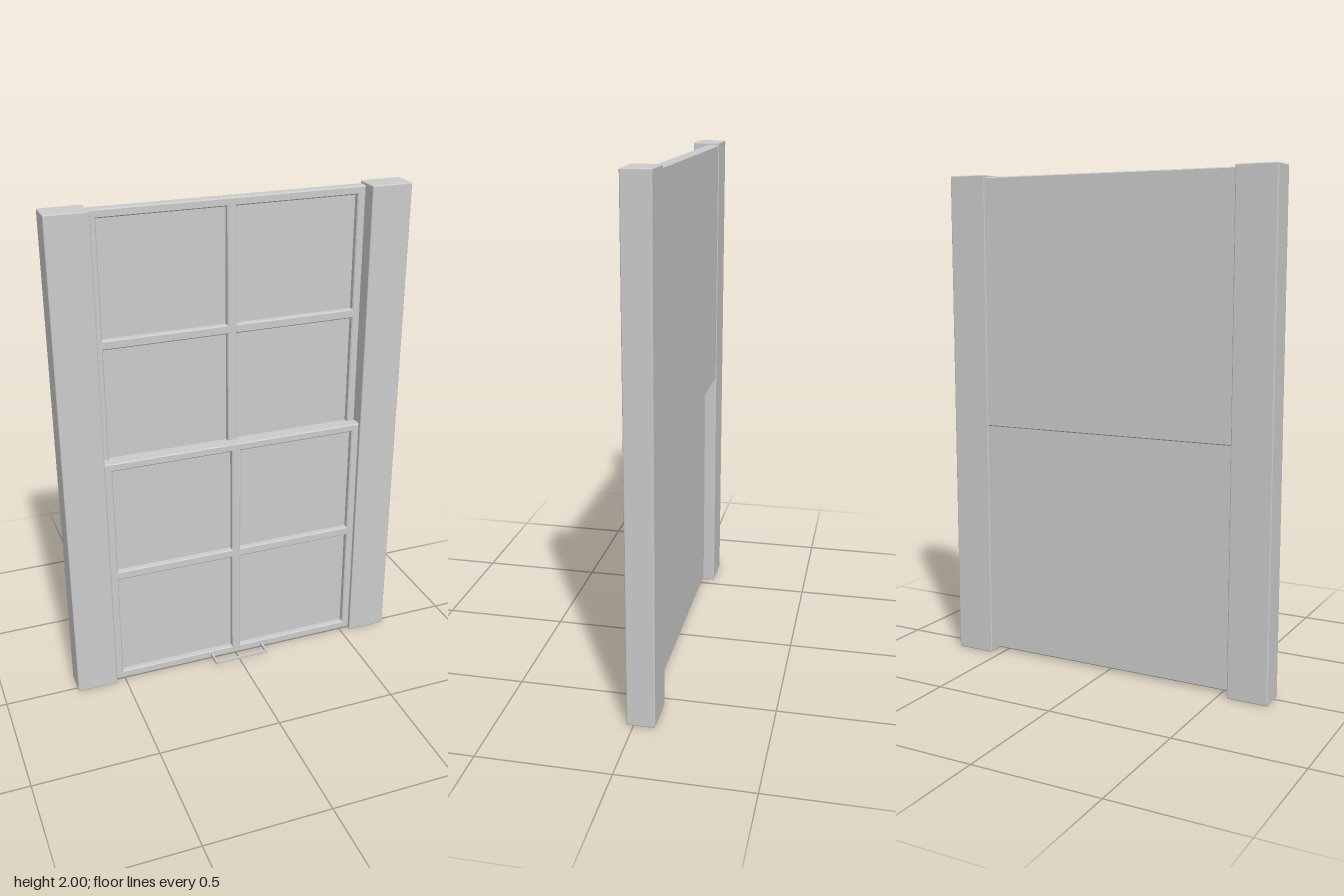
import * as THREE from 'three';
import { RoundedBoxGeometry } from 'three/addons/geometries/RoundedBoxGeometry.js';

const material = new THREE.MeshStandardMaterial({ color: 0xcccccc });

function box(name, w, h, d, x, y, z) {
  const mesh = new THREE.Mesh(new THREE.BoxGeometry(w, h, d), material);
  mesh.name = name;
  mesh.position.set(x, y, z);
  return mesh;
}

function rectangle(path, x0, y0, x1, y1) {
  return path.moveTo(x0, y0).lineTo(x1, y0).lineTo(x1, y1).lineTo(x0, y1).closePath();
}

// A two by two sash: bevelled bars in front of a plain backing pane
function sash(name, bottom, back) {
  const group = new THREE.Group();
  group.name = name;
  const halfWidth = 0.54, height = 1.01, depth = 0.046, paneDepth = 0.023, bevel = 0.004;

  const frame = rectangle(new THREE.Shape(), -halfWidth, 0, halfWidth, height);
  for (const [x0, x1] of [[-0.508, -0.018], [0.018, 0.508]]) {
    for (const [y0, y1] of [[0.034, 0.487], [0.523, 0.978]]) {
      frame.holes.push(rectangle(new THREE.Path(), x0, y0, x1, y1));
    }
  }
  const bars = new THREE.Mesh(new THREE.ExtrudeGeometry(frame, {
    depth: depth - 2 * bevel, bevelEnabled: true, bevelSize: bevel,
    bevelThickness: bevel, bevelOffset: -bevel, bevelSegments: 1,
  }), material);
  bars.name = 'sashBars';
  bars.position.z = bevel;

  const pane = box('pane', 2 * halfWidth, height - 0.008, paneDepth, 0, height / 2, paneDepth / 2 - 0.001);
  group.add(bars, pane);
  group.position.set(0, bottom, back);
  return group;
}

export function createModel() {
  const model = new THREE.Group();
  model.name = 'sashWindow';

  // Side posts
  for (const side of [-1, 1]) {
    const post = new THREE.Mesh(new RoundedBoxGeometry(0.165, 2, 0.108, 2, 0.005), material);
    post.name = side > 0 ? 'leftPost' : 'rightPost';
    post.position.set(side * 0.6225, 1, -0.028);
    model.add(post);
  }

  // Upper sash sits behind the lower one
  model.add(sash('upperSash', 0.98, -0.078), sash('lowerSash', 0.01, -0.032));

  // Pull handle
  const handle = new THREE.Group();
  handle.name = 'pullHandle';
  handle.add(box('handleGrip', 0.236, 0.012, 0.008, 0, 0.028, 0.078));
  for (const side of [-1, 1]) {
    handle.add(box('handleArm', 0.008, 0.012, 0.066, side * 0.114, 0.028, 0.043));
  }
  model.add(handle);

  return model;
}
